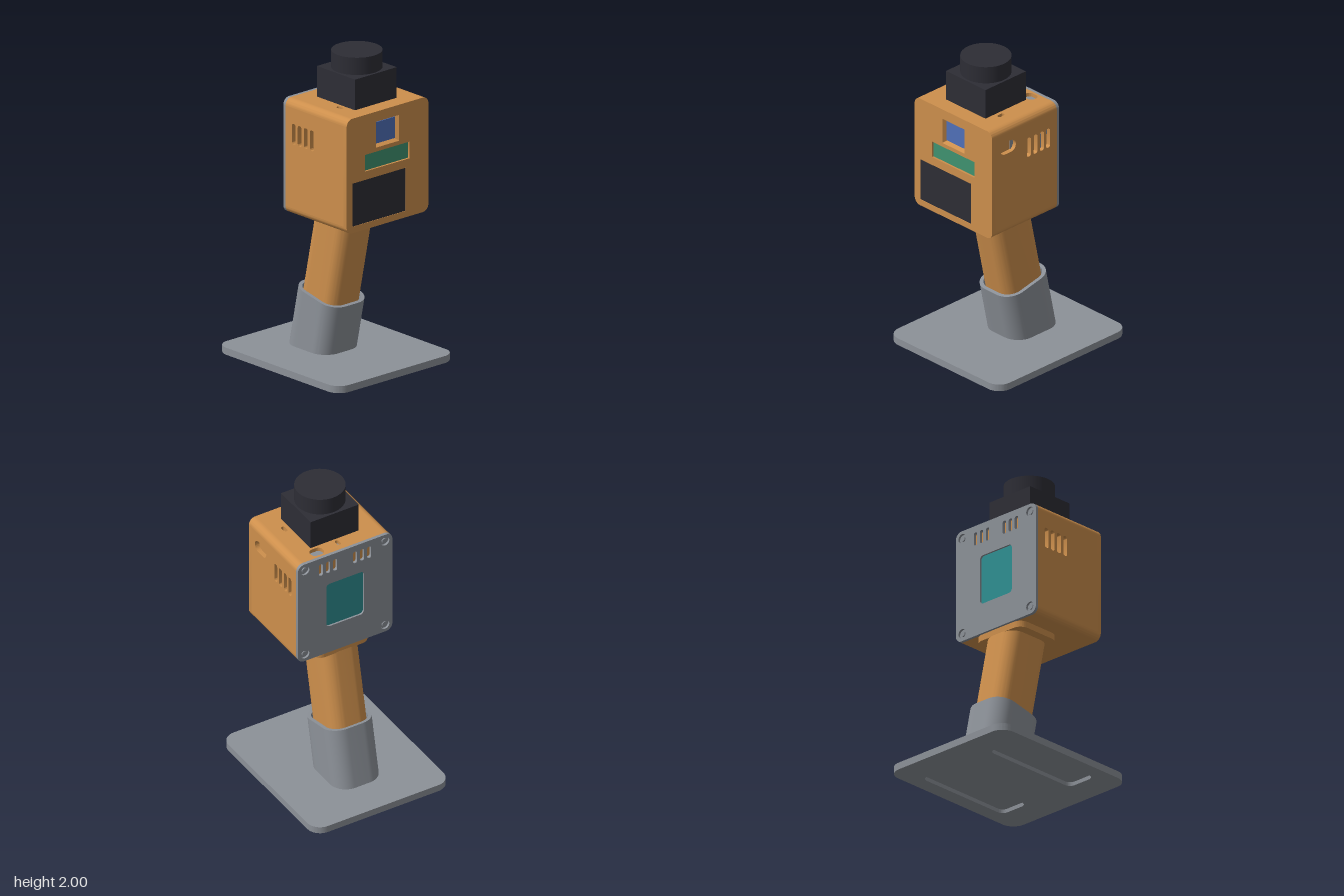
import * as THREE from 'three';
import { toCreasedNormals } from 'three/addons/utils/BufferGeometryUtils.js';

const mat = (name, color) => {
  const m = new THREE.MeshStandardMaterial({ color });
  m.name = name;
  return m;
};

// Rounded rectangle outline centred on (cx, cy)
function rounded(w, h, r, cx = 0, cy = 0, Type = THREE.Shape) {
  const s = new Type(), x = w / 2 - r, y = h / 2 - r, q = Math.PI / 2;
  s.moveTo(cx - x, cy - y - r);
  s.absarc(cx + x, cy - y, r, -q, 0);
  s.absarc(cx + x, cy + y, r, 0, q);
  s.absarc(cx - x, cy + y, r, q, 2 * q);
  s.absarc(cx - x, cy - y, r, 2 * q, 3 * q);
  s.closePath();
  return s;
}
const hole = (w, h, r, cx, cy) => rounded(w, h, r, cx, cy, THREE.Path);

// Extrude a shape from z = start with smooth rounded corners
function slab(shape, depth, start, holes = []) {
  shape.holes.push(...holes);
  const g = new THREE.ExtrudeGeometry(shape, { depth, bevelEnabled: false, curveSegments: 8 });
  g.translate(0, 0, start);
  return toCreasedNormals(g, 0.5);
}

export function createModel() {
  const model = new THREE.Group();
  const orange = mat('orange shell', 0xcd8f4c);
  const grey = mat('grey plastic', 0x8c9198);
  const dark = mat('dark charcoal', 0x2d2d35);
  const blue = mat('blue sensor', 0x5070b8);
  const green = mat('green display', 0x3f9270);
  const teal = mat('teal screen', 0x2f8f92);

  const add = (name, geometry, material, x = 0, y = 0, z = 0) => {
    const m = new THREE.Mesh(geometry, material);
    m.name = name;
    m.position.set(x, y, z);
    model.add(m);
    return m;
  };
  const box = (name, material, w, h, d, x, y, z) =>
    add(name, new THREE.BoxGeometry(w, h, d), material, x, y, z);

  // Base plate with two long recesses underneath
  const recesses = [-0.28, 0.28].map((x) => hole(0.2, 0.7, 0.04, x, 0));
  add('baseUnderside', slab(rounded(0.96, 1.09, 0.09), 0.025, 0, recesses).rotateX(-Math.PI / 2), grey);
  add('baseTop', slab(rounded(0.96, 1.09, 0.09), 0.02, 0.025).rotateX(-Math.PI / 2), grey);

  // Leaning post: ends outside minY..maxY slide along its axis to a level cut
  const tilt = THREE.MathUtils.degToRad(12);
  function post(shape, from, to, minY, maxY, holes) {
    shape.holes.push(...(holes || []));
    const g = new THREE.ExtrudeGeometry(shape, { depth: to - from, bevelEnabled: false, curveSegments: 8 });
    g.translate(0, 0, from).rotateX(-Math.PI / 2 + tilt).translate(0, 0, -0.125);
    const p = g.attributes.position;
    for (let i = 0; i < p.count; i++) {
      const y = p.getY(i), level = THREE.MathUtils.clamp(y, minY, maxY);
      p.setY(i, level);
      p.setZ(i, p.getZ(i) + (level - y) * Math.tan(tilt));
    }
    return toCreasedNormals(g, 0.5);
  }
  add('sleeve', post(rounded(0.326, 0.374, 0.11), -0.06, 0.409, 0.035, 1, [hole(0.28, 0.328, 0.088, 0, 0)]), grey);
  add('handle', post(rounded(0.26, 0.318, 0.085), 0.2, 1.1, 0, 0.95), orange);
  add('collar', slab(rounded(0.385, 0.33, 0.06), 0.05, 0.925).rotateX(-Math.PI / 2), orange, 0, 0, 0.075);

  // Housing core, notched on the sides and top to take the pierced panels
  const W = 0.333, y0 = 0.965, y1 = 1.695, r = 0.045, t = 0.03, q = Math.PI / 2;
  const midY = (y0 + y1) / 2, H = y1 - y0, back = -0.085, front = 0.43;
  const c = new THREE.Shape();
  c.moveTo(-W + r, y0);
  c.absarc(W - r, y0 + r, r, -q, 0);
  c.lineTo(W - t, y0 + r);
  c.lineTo(W - t, y1 - r);
  c.lineTo(W, y1 - r);
  c.absarc(W - r, y1 - r, r, 0, q);
  c.lineTo(W - r, y1 - t);
  c.lineTo(-W + r, y1 - t);
  c.lineTo(-W + r, y1);
  c.absarc(-W + r, y1 - r, r, q, 2 * q);
  c.lineTo(-W + t, y1 - r);
  c.lineTo(-W + t, y0 + r);
  c.lineTo(-W, y0 + r);
  c.absarc(-W + r, y0 + r, r, 2 * q, 3 * q);
  add('housingCore', slab(c, front - back, back), orange);

  // Side panels with four vents each, plus a pill opening on the left
  const len = front - back, midZ = (front + back) / 2;
  const ventZ = [0.15, 0.095, 0.04, -0.012];
  for (const s of [1, -1]) {
    const holes = ventZ.map((z) => hole(0.034, 0.13, 0.014, -s * z, 1.485));
    if (s > 0) holes.push(hole(0.13, 0.08, 0.039, -0.325, 1.55));
    const g = slab(rounded(len, H - 2 * r, 0.0001, -s * midZ, midY), t, W - t, holes);
    add(s > 0 ? 'leftPanel' : 'rightPanel', g.rotateY(s * q), orange);
  }
  box('leftPortInsert', grey, 0.006, 0.08, 0.025, W - t + 0.002, 1.55, 0.272);
  box('ventInsertA', grey, 0.006, 0.1, 0.018, W - t + 0.002, 1.47, 0.032);
  box('ventInsertB', grey, 0.006, 0.05, 0.034, W - t + 0.002, 1.525, -0.012);

  // Top panel with a port and small slots
  add('topPanel', slab(rounded(2 * (W - r), len, 0.0001, 0, -midZ), t, y1 - t, [
    hole(0.088, 0.07, 0.03, 0.157, 0.035),
    hole(0.026, 0.046, 0.0125, 0, 0.022),
    hole(0.026, 0.05, 0.0125, 0.205, -0.26),
    hole(0.026, 0.05, 0.0125, -0.205, -0.26),
  ]).rotateX(-q), orange);
  box('topPortInsert', grey, 0.088, 0.006, 0.07, 0.157, y1 - t + 0.002, -0.035);
  box('topSlotInsert', grey, 0.026, 0.006, 0.046, 0, y1 - t + 0.002, -0.022);

  // Front plate with three openings and their inset panels
  add('frontPlate', slab(rounded(2 * W, H, r, 0, midY), t, front, [
    hole(0.19, 0.165, 0.0001, 0, 1.548),
    hole(0.365, 0.106, 0.0001, -0.002, 1.387),
    hole(0.436, 0.275, 0.0001, -0.067, 1.143),
  ]), orange);
  box('sensorWindow', blue, 0.165, 0.136, 0.006, 0, 1.548, front + 0.003);
  box('statusDisplay', green, 0.365, 0.106, 0.008, -0.002, 1.387, front + 0.012);
  box('speakerPanel', dark, 0.436, 0.275, 0.008, -0.067, 1.143, front + 0.023);

  // Sloping frame around the sensor, facing inward
  const frame = new THREE.CylinderGeometry(Math.SQRT1_2, Math.SQRT1_2 * 0.84, t, 4, 1, true)
    .toNonIndexed().rotateY(Math.PI / 4).rotateX(q).scale(-0.19, 0.165, 1);
  frame.computeVertexNormals();
  // Mirroring reverses the corners, so the faces look into the opening
  add('sensorFrame', frame, orange, 0, 1.548, front + t / 2);

  // Back plate with screen, vents and corner screws
  const screws = [[0.282, 1.645], [-0.282, 1.645], [0.282, 1.015], [-0.282, 1.015]];
  const backHoles = [hole(0.265, 0.32, 0.025, 0, 1.32)];
  for (const s of [1, -1]) {
    for (const x of [0.07, 0.12, 0.17]) backHoles.push(hole(0.028, 0.085, 0.012, s * x, 1.608));
  }
  for (const [x, y] of screws) backHoles.push(hole(0.06, 0.06, 0.0299, x, y));
  add('backPlate', slab(rounded(2 * W, H, r, 0, midY), 0.02, back - 0.02, backHoles), grey);
  box('backScreen', teal, 0.265, 0.32, 0.008, 0, 1.32, back - 0.004);
  for (const [x, y] of screws) {
    add('screwSeat', new THREE.CylinderGeometry(0.03, 0.03, 0.006, 20).rotateX(q), grey, x, y, back - 0.003);
    add('screwHead', new THREE.CylinderGeometry(0.018, 0.018, 0.014, 6).rotateX(q), grey, x, y, back - 0.007);
  }

  // Camera block and round lens on top
  box('cameraBlock', dark, 0.34, 0.195, 0.34, 0, y1 + 0.0975, 0.186);
  add('cameraLens', new THREE.CylinderGeometry(0.155, 0.155, 0.11, 48), dark, 0, 1.945, 0.186);

  return model;
}
